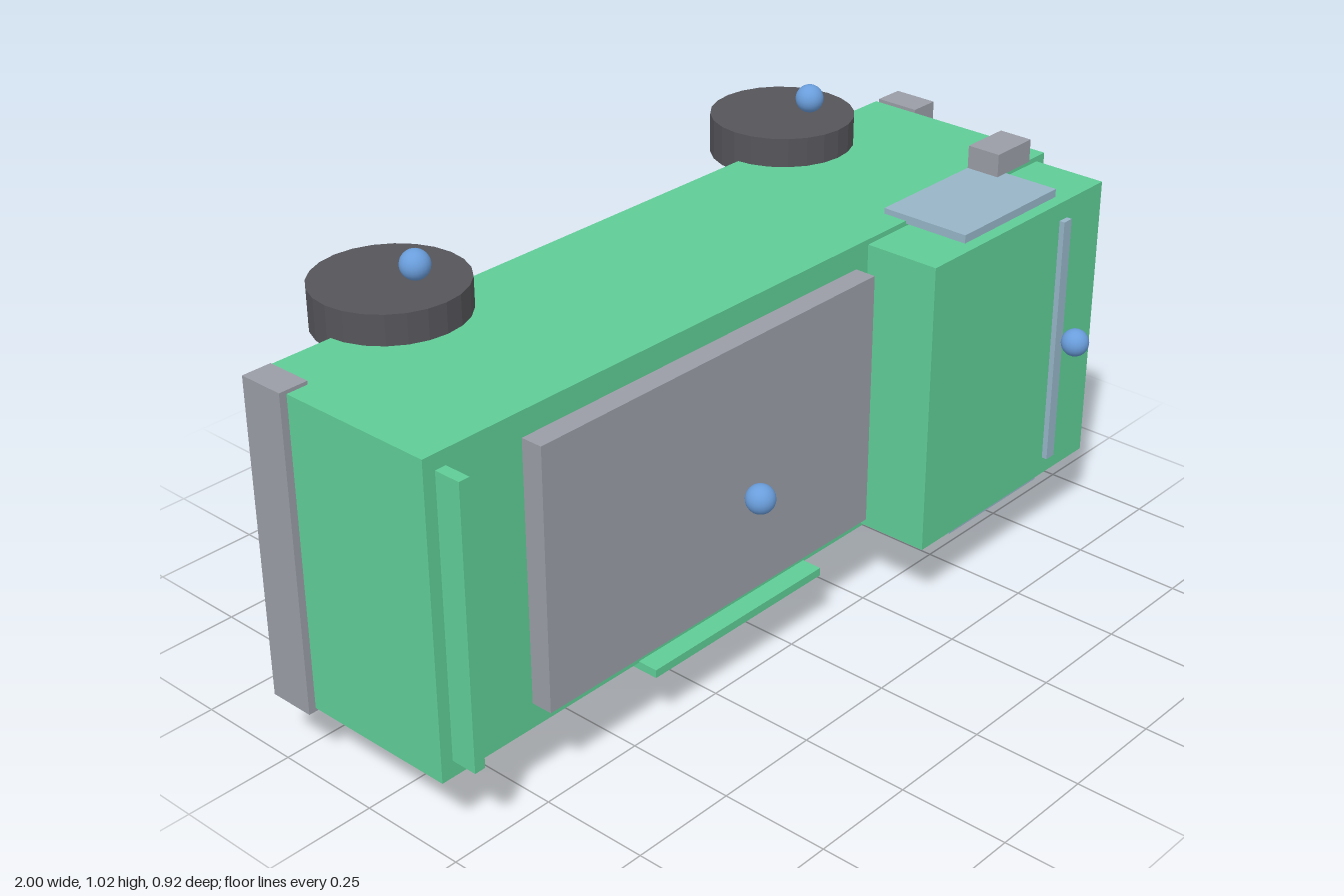
import * as THREE from 'three';

const mat = (color) => new THREE.MeshStandardMaterial({ color });

export function createModel() {
  const model = new THREE.Group();
  model.name = 'van';

  const green = mat(0x5fcc96), grey = mat(0x9a9da6), dark = mat(0x55555a);
  const glass = mat(0x96b4c6), lamp = mat(0xb2b2b0), blue = mat(0x6a9edc);
  dark.flatShading = true;
  const MID = 0.509; // the van lies on its side: its width runs along y, its roof faces +z

  // Box given by its extents on each axis
  const box = (name, [x0, x1], [y0, y1], [z0, z1], material) => {
    const mesh = new THREE.Mesh(new THREE.BoxGeometry(x1 - x0, y1 - y0, z1 - z0), material);
    mesh.position.set((x0 + x1) / 2, (y0 + y1) / 2, (z0 + z1) / 2);
    mesh.name = name;
    model.add(mesh);
  };
  // Two boxes mirrored across the van's centre plane; d0, d1 are distances from it
  const pair = (name, x, [d0, d1], z, material) => {
    box(name + 'Upper', x, [MID + d0, MID + d1], z, material);
    box(name + 'Lower', x, [MID - d1, MID - d0], z, material);
  };
  const ballGeometry = new THREE.SphereGeometry(0.032, 20, 14);
  const ball = (name, x, y, z) => {
    const mesh = new THREE.Mesh(ballGeometry, blue);
    mesh.position.set(x, y, z);
    mesh.name = name;
    model.add(mesh);
  };

  // Body and raised cab
  box('body', [-0.983, 0.927], [0.155, 0.863], [-0.282, 0.206], green);
  box('cab', [0.282, 0.897], [0.168, 0.851], [0.2, 0.384], green);

  // Roof panel, rear lip, windscreen bar and side door
  box('roofPanel', [-0.74, 0.243], [0.213, 0.807], [0.2, 0.256], grey);
  box('rearLip', [-0.954, -0.928], [0.193, 0.829], [0.2, 0.268], green);
  box('windscreenBar', [0.736, 0.764], [0.211, 0.808], [0.375, 0.397], glass);
  box('sideDoor', [-0.438, 0.088], [0.139, 0.158], [-0.205, 0.254], green);

  // Bumpers
  box('frontBumper', [0.927, 1], [0.147, 0.871], [-0.273, -0.165], grey);
  box('rearBumper', [-1, -0.932], [0.147, 0.871], [-0.273, -0.165], grey);

  // Headlights, side windows and mirrors
  pair('headlight', [0.932, 0.957], [0.173, 0.281], [-0.149, -0.041], lamp);
  pair('sideWindow', [0.411, 0.744], [0.348, 0.367], [0.147, 0.363], glass);
  pair('mirror', [0.684, 0.805], [0.381, 0.434], [0.167, 0.248], grey);

  // Wheels with a marker ball outside each
  const wheelGeometry = new THREE.CylinderGeometry(0.166, 0.166, 0.093, 24);
  for (const [end, x] of [['rear', -0.612], ['front', 0.588]]) {
    for (const [side, s] of [['Upper', 1], ['Lower', -1]]) {
      const wheel = new THREE.Mesh(wheelGeometry, dark);
      wheel.position.set(x, MID + s * 0.375, -0.292);
      wheel.name = end + side + 'Wheel';
      model.add(wheel);
      ball(end + side + 'WheelMarker', x, MID + s * 0.476, -0.212);
    }
  }

  // Marker balls on the roof side
  ball('roofMarker', -0.231, 0.511, 0.352);
  ball('windscreenMarker', 0.77, 0.511, 0.427);

  return model;
}
